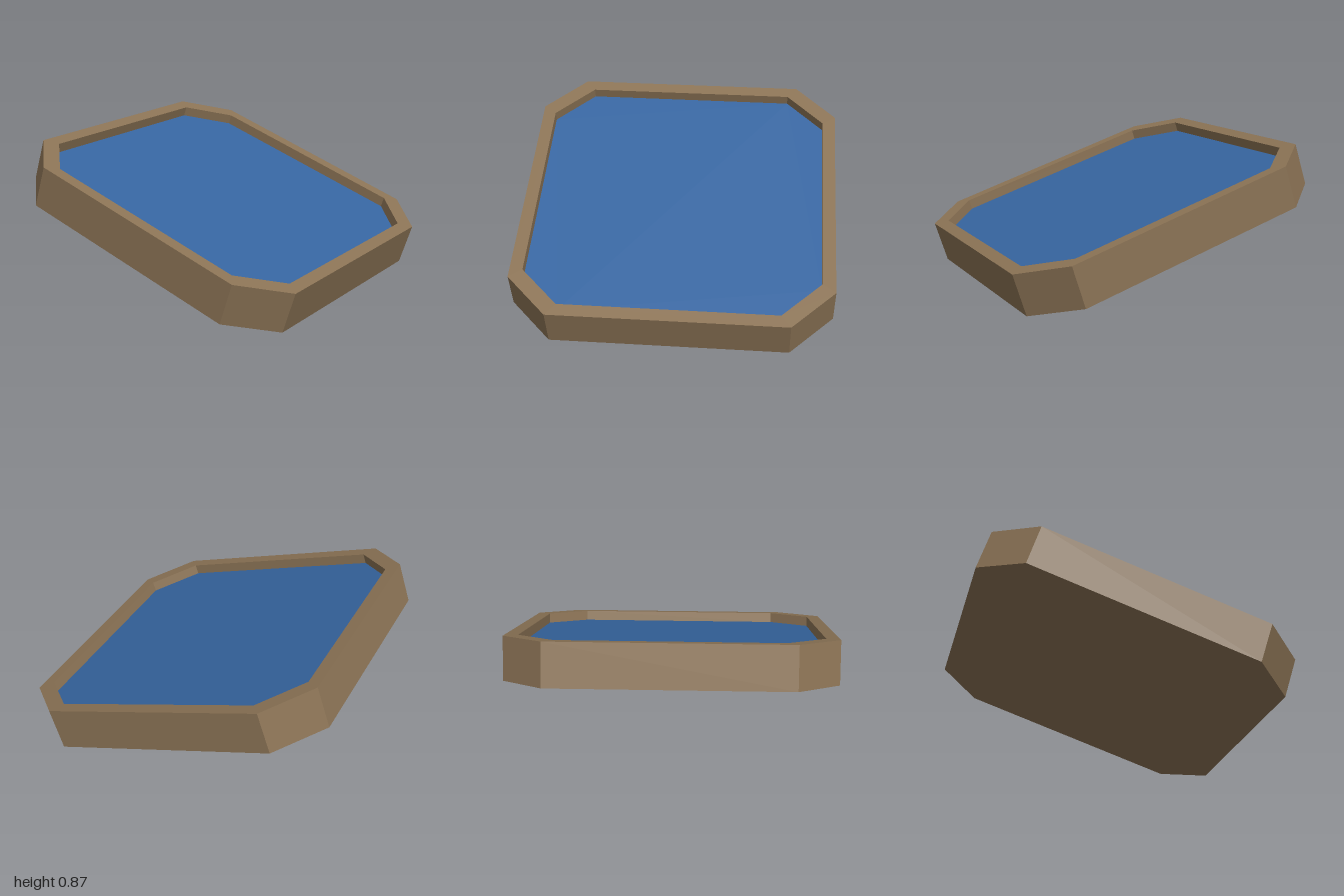
import * as THREE from 'three';

const HEIGHT = 0.27, DEPTH = 0.065, TILT = THREE.MathUtils.degToRad(18);
const OUTER = [1, 0.735], INNER = [0.918, 0.675];

// Square with cut corners, as [x, z] points; s is half the side, c where the cut begins
const octagon = ([s, c]) => [
  [s, -c], [s, c], [c, s], [-c, s], [-s, c], [-s, -c], [-c, -s], [c, -s],
];

// Loft of octagonal rings, each with its own height
function loft(rings) {
  const pos = [];
  for (let r = 0; r + 1 < rings.length; r++) {
    const [lo, hi] = [rings[r], rings[r + 1]].map(({ size, y }) =>
      octagon(size).map(([x, z]) => [x, y, z]));
    for (let i = 0; i < 8; i++) {
      const j = (i + 1) % 8;
      pos.push(...lo[i], ...hi[i], ...hi[j]);
      if (rings[r].size[0] > 0) pos.push(...lo[i], ...hi[j], ...lo[j]);
    }
  }
  const geo = new THREE.BufferGeometry();
  geo.setAttribute('position', new THREE.Float32BufferAttribute(pos, 3));
  geo.computeVertexNormals();
  return geo;
}

export function createModel() {
  const wood = new THREE.MeshStandardMaterial({ color: 0x8b7355 });
  wood.name = 'brown frame';
  const blue = new THREE.MeshStandardMaterial({ color: 0x3665a0 });
  blue.name = 'blue panel';

  const tray = new THREE.Group();
  tray.name = 'tiltedTray';

  // Underside, outer wall, rim and inner wall
  const h = HEIGHT / 2;
  const frame = new THREE.Mesh(loft([
    { size: [0, 0], y: -h },
    { size: OUTER, y: -h },
    { size: OUTER, y: h },
    { size: INNER, y: h },
    { size: INNER, y: h - DEPTH },
  ]), wood);
  frame.name = 'frame';

  // Recessed floor
  const shape = new THREE.Shape(octagon(INNER).map(([x, z]) => new THREE.Vector2(x, z)));
  const panel = new THREE.Mesh(new THREE.ShapeGeometry(shape).rotateX(-Math.PI / 2), blue);
  panel.name = 'panel';
  panel.position.y = h - DEPTH;

  // Front edge low, back edge raised
  tray.add(frame, panel);
  tray.rotation.x = TILT;
  tray.position.y = Math.sin(TILT) + h * Math.cos(TILT);

  const model = new THREE.Group();
  model.name = 'model';
  model.add(tray);
  return model;
}
